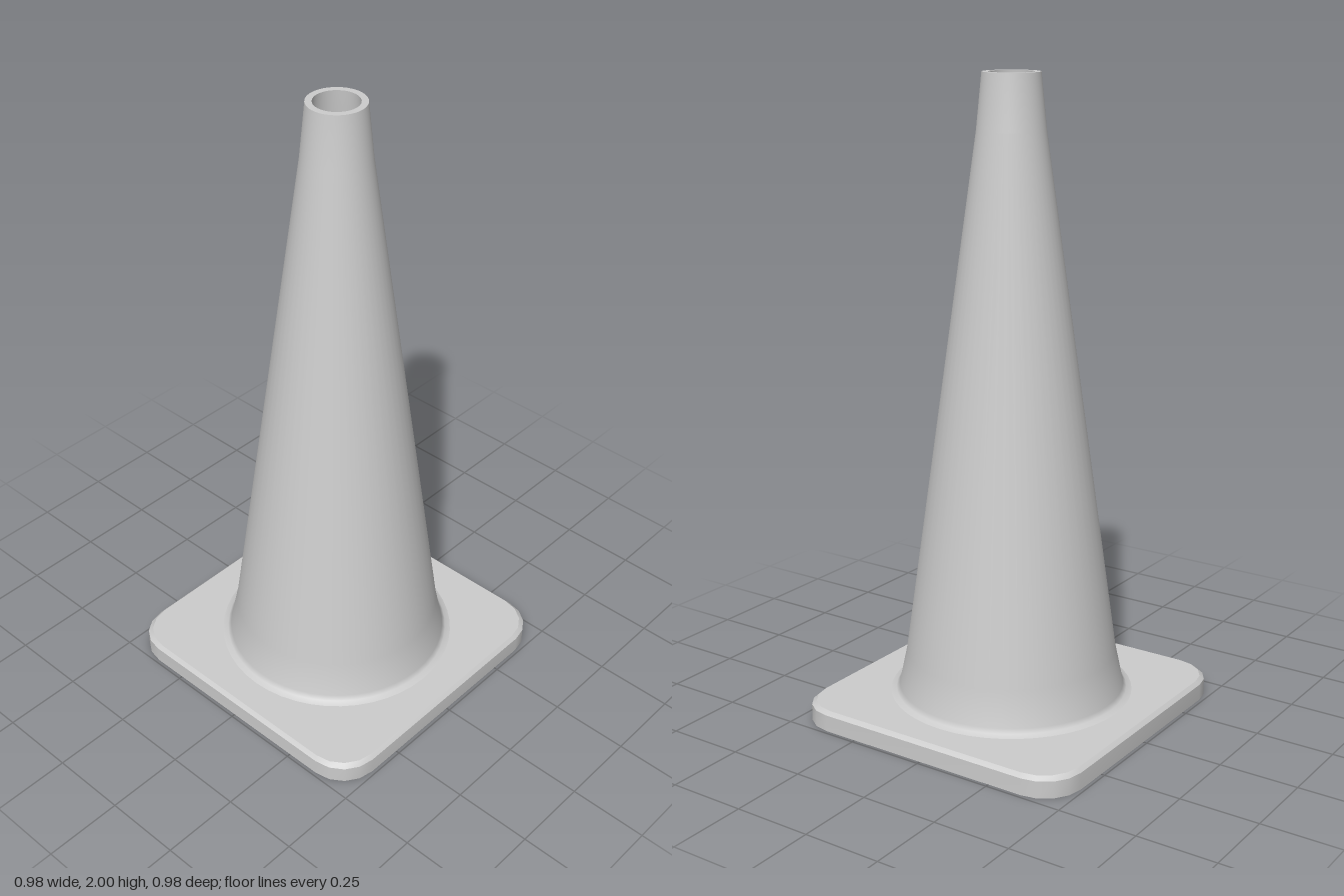
import * as THREE from 'three';
import { toCreasedNormals } from 'three/addons/utils/BufferGeometryUtils.js';

const material = new THREE.MeshStandardMaterial({ color: 0xcccccc });

// Rounded-square outline, counter-clockwise seen from above
function squareOutline(half, radius, steps) {
  const points = [];
  for (let corner = 0; corner < 4; corner++) {
    const mid = (corner + 0.5) * Math.PI / 2;
    const cx = Math.sign(Math.cos(mid)) * (half - radius);
    const cz = Math.sign(Math.sin(mid)) * (half - radius);
    for (let i = 0; i <= steps; i++) {
      const a = (corner + i / steps) * Math.PI / 2;
      points.push([cx + radius * Math.cos(a), -cz - radius * Math.sin(a)]);
    }
  }
  return points;
}

// Stacks scaled copies of an outline; a scale of 0 closes the end
function stack(outline, levels) {
  const positions = [];
  const n = outline.length;
  const at = ([y, s], i) => [outline[i % n][0] * s, y, outline[i % n][1] * s];
  for (let k = 0; k < levels.length - 1; k++) {
    const [lo, hi] = [levels[k], levels[k + 1]];
    for (let i = 0; i < n; i++) {
      if (lo[1] > 0) positions.push(...at(lo, i), ...at(lo, i + 1), ...at(hi, i + 1));
      if (hi[1] > 0) positions.push(...at(lo, i), ...at(hi, i + 1), ...at(hi, i));
    }
  }
  const geometry = new THREE.BufferGeometry();
  geometry.setAttribute('position', new THREE.Float32BufferAttribute(positions, 3));
  return toCreasedNormals(geometry, Math.PI / 6);
}

function lathe(name, profile) {
  const points = profile.map(([r, y]) => new THREE.Vector2(r, y));
  const mesh = new THREE.Mesh(new THREE.LatheGeometry(points, 48), material);
  mesh.name = name;
  return mesh;
}

export function createModel() {
  const model = new THREE.Group();
  model.name = 'trafficCone';

  // Square foot plate with rounded corners and a chamfered top edge
  const base = new THREE.Mesh(
    stack(squareOutline(0.488, 0.125, 4), [[0, 0], [0, 1], [0.053, 1], [0.065, 0.976], [0.065, 0]]),
    material
  );
  base.name = 'basePlate';
  model.add(base);

  // Hollow cone: flared outside, flat rim and inner wall
  model.add(
    lathe('coneBody', [
      [0.385, 0.065], [0.368, 0.072], [0.357, 0.085], [0.333, 0.2],
      [0.105, 1.83], [0.088, 2]
    ]),
    lathe('coneRim', [[0.088, 2], [0.068, 2]]),
    lathe('coneInside', [[0.068, 2], [0.085, 1.83], [0.313, 0.2], [0.335, 0.065]])
  );
  return model;
}
